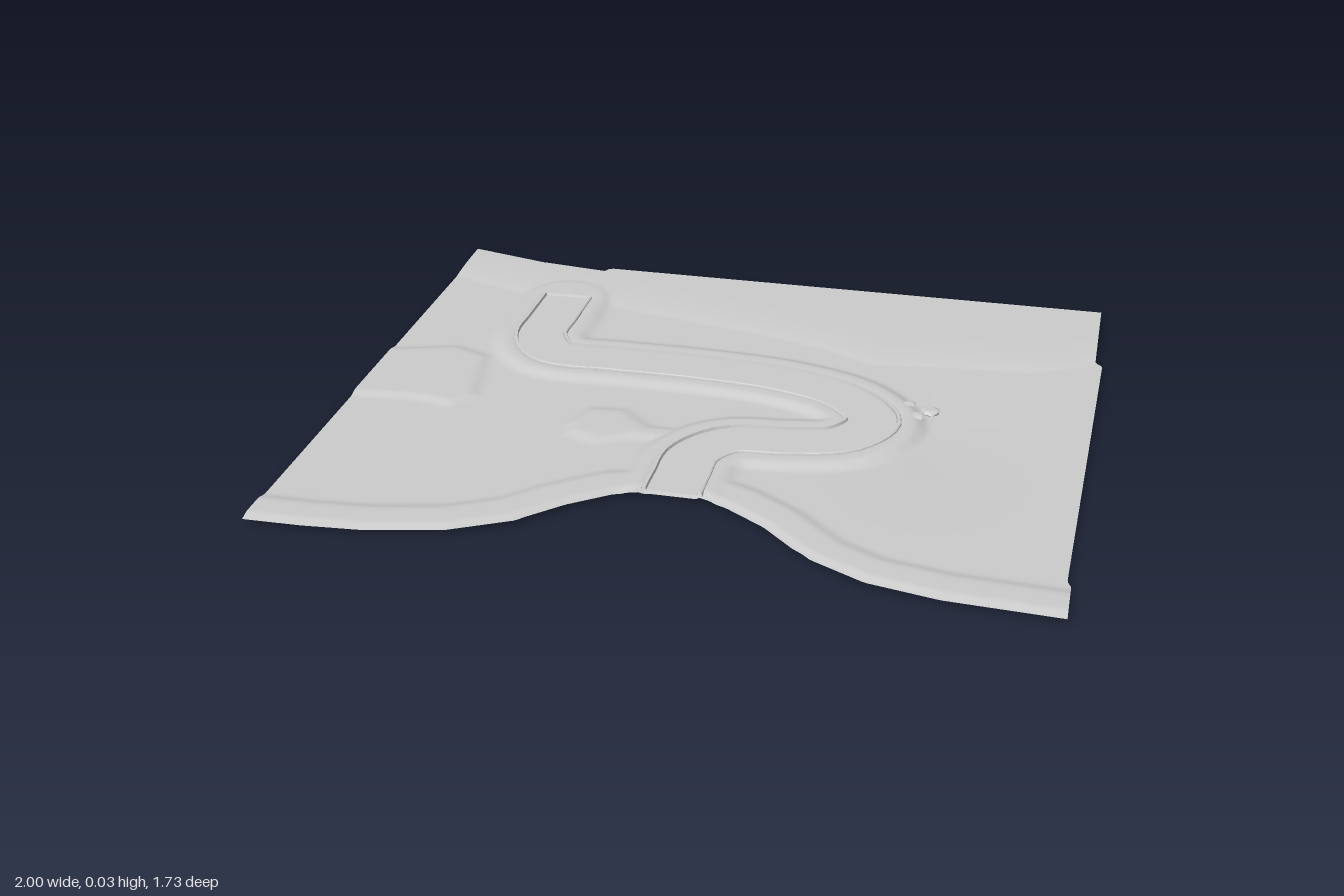
import * as THREE from 'three';

const material = new THREE.MeshStandardMaterial({ color: 0xcccccc, side: THREE.DoubleSide });
const { smoothstep, lerp } = THREE.MathUtils;

// Straight-line lookup through [position, value] pairs
function along(points, p) {
  if (p <= points[0][0]) return points[0][1];
  for (let i = 1; i < points.length; i++) {
    const [a, va] = points[i - 1], [b, vb] = points[i];
    if (p <= b) return lerp(va, vb, (p - a) / (b - a));
  }
  return points[points.length - 1][1];
}

function distance(points, x, z, closed = false) {
  let best = Infinity;
  for (let i = closed ? 0 : 1; i < points.length; i++) {
    const [ax, az] = points[(i + points.length - 1) % points.length], [bx, bz] = points[i];
    const dx = bx - ax, dz = bz - az;
    const t = THREE.MathUtils.clamp(((x - ax) * dx + (z - az) * dz) / (dx * dx + dz * dz), 0, 1);
    best = Math.min(best, Math.hypot(x - ax - t * dx, z - az - t * dz));
  }
  return best;
}

function inside(points, x, z) {
  let result = false;
  points.forEach(([ax, az], i) => {
    const [bx, bz] = points[(i + 1) % points.length];
    if ((az > z) !== (bz > z) && x < ax + (z - az) * (bx - ax) / (bz - az)) result = !result;
  });
  return result;
}

// Sheet of quads from a point rule; columns run across, rows run forwards
function sheet(columns, rows, rule) {
  const positions = [], index = [];
  for (let j = 0; j <= rows; j++)
    for (let i = 0; i <= columns; i++) positions.push(...rule(i, j));
  for (let j = 0; j < rows; j++)
    for (let i = 0; i < columns; i++) {
      const a = j * (columns + 1) + i, b = a + columns + 1;
      index.push(a, b, a + 1, a + 1, b, b + 1);
    }
  const geometry = new THREE.BufferGeometry();
  geometry.setAttribute('position', new THREE.Float32BufferAttribute(positions, 3));
  geometry.setIndex(index);
  geometry.computeVertexNormals();
  return geometry;
}

// Outlines as [x, z]
const coast = [[-1, 0.86], [-0.85, 0.857], [-0.7, 0.845], [-0.5, 0.8], [-0.35, 0.72], [-0.25, 0.62],
  [-0.15, 0.545], [-0.06, 0.518], [0.06, 0.518], [0.14, 0.55], [0.25, 0.62], [0.38, 0.74],
  [0.52, 0.81], [0.7, 0.845], [1, 0.86]];
const backEdge = [[-1, -0.87], [-0.76, -0.81], [-0.55, -0.785], [-0.54, -0.805], [1, -0.805]];
const backSlopeFoot = [[-1, -0.67], [-0.74, -0.58], [-0.45, -0.55], [0, -0.46], [0.2, -0.4],
  [0.35, -0.33], [0.6, -0.37], [0.8, -0.38], [1, -0.48]];
const rightEdge = [[-0.48, 0.98], [-0.46, 1], [0.7, 0.975], [0.72, 0.985]];
const hills = [
  [[-1.2, -0.14], [-0.98, -0.15], [-0.82, -0.2], [-0.7, -0.15], [-0.65, 0.11], [-0.71, 0.19], [-0.82, 0.17], [-1.2, 0.2]],
  [[-0.39, 0.2], [-0.35, 0.09], [-0.24, 0.08], [-0.15, 0.16], [-0.05, 0.16], [-0.1, 0.26], [-0.19, 0.26], [-0.27, 0.31], [-0.37, 0.27]],
];
const roadCurve = new THREE.CatmullRomCurve3(
  [[-0.61, -0.575], [-0.61, -0.42], [-0.605, -0.29], [-0.53, -0.19], [-0.35, -0.185], [-0.1, -0.185],
    [0.15, -0.16], [0.33, -0.09], [0.42, 0.03], [0.36, 0.145], [0.22, 0.19], [0.07, 0.215],
    [-0.005, 0.31], [-0.01, 0.42], [-0.01, 0.517]].map(([x, z]) => new THREE.Vector3(x, 0, z)), false, 'centripetal');
const roadPoints = roadCurve.getSpacedPoints(70).map(p => [p.x, p.z]);

// Ground height at a place
function height(x, z) {
  const low = 0.009 - 0.009 * Math.exp(-(((x - 0.62) / 0.2) ** 2) - ((z - 0.05) / 0.28) ** 2);
  let y = low;
  for (const hill of hills)
    if (inside(hill, x, z)) y = Math.max(y, low + 0.008 * smoothstep(distance(hill, x, z, true), 0, 0.04));
  // Raised rim along the coast, with its outer edge rounded down
  const shore = distance(coast, x, z);
  y = Math.max(y, lerp(0.018, low, smoothstep(shore, 0.09, 0.135)));
  // Rise at the back
  const back = along(backSlopeFoot, x) - z;
  if (back > 0) y = Math.max(y, 0.009 + 0.0125 * (1 - Math.exp(-back / 0.08)));
  // Embankment with a bed for the road
  const road = distance(roadPoints, x, z);
  y = Math.max(y, lerp(0.0215, low, smoothstep(road, 0.105, 0.15)));
  if (z > -0.575) y = lerp(Math.min(y, 0.015), y, smoothstep(road, 0.066, 0.078));
  return y - 0.007 * (1 - smoothstep(shore, 0, 0.03));
}

export function createModel() {
  const group = new THREE.Group();
  const add = (name, geometry, parent = group) => {
    const mesh = new THREE.Mesh(geometry, material);
    mesh.name = name;
    parent.add(mesh);
    return mesh;
  };

  // Terrain tile
  const columns = 190, rows = 170;
  add('ground', sheet(columns, rows, (i, j) => {
    const x = lerp(-1, 0.985, i / columns);
    const z = lerp(along(backEdge, x), along(coast, x), j / rows);
    const stretched = lerp(-1, along(rightEdge, z), i / columns);
    return [stretched, height(x, z), z];
  }));

  // Winding road with a kerb on each side
  const half = [[0.08, 0.013], [0.077, 0.024], [0.074, 0.026], [0.067, 0.026], [0.065, 0.018]];
  const profile = [...half.map(([o, y]) => [-o, y]), ...half.slice().reverse()];
  const steps = 90;
  const roadGeometry = sheet(profile.length - 1, steps, (i, j) => {
    const p = roadCurve.getPointAt(j / steps), t = roadCurve.getTangentAt(j / steps);
    const [offset, y] = profile[i];
    return [p.x + t.z * offset, y, p.z - t.x * offset];
  }).toNonIndexed();
  roadGeometry.computeVertexNormals();
  add('road', roadGeometry);

  // Flat shelf along the back
  const shelf = new THREE.Shape([[-0.54, 0.805], [0.1, 0.72], [0.37, 0.6], [0.65, 0.6], [0.98, 0.69], [0.98, 0.805]]
    .map(([x, y]) => new THREE.Vector2(x, y)));
  add('backShelf', new THREE.ShapeGeometry(shelf).rotateX(-Math.PI / 2).translate(0, 0.0222, 0));

  // Stones beside the bend
  const stones = new THREE.Group();
  stones.name = 'stones';
  group.add(stones);
  [[0.5, -0.095, 0.021], [0.56, -0.085, 0.03], [0.533, -0.03, 0.025]].forEach(([x, z, r], i) => {
    const stone = add('stone', new THREE.IcosahedronGeometry(r, 0), stones);
    stone.geometry.rotateY(i * 1.3).scale(1, 0.35, 1);
    stone.position.set(x, height(x, z) + r * 0.12, z);
  });
  return group;
}
